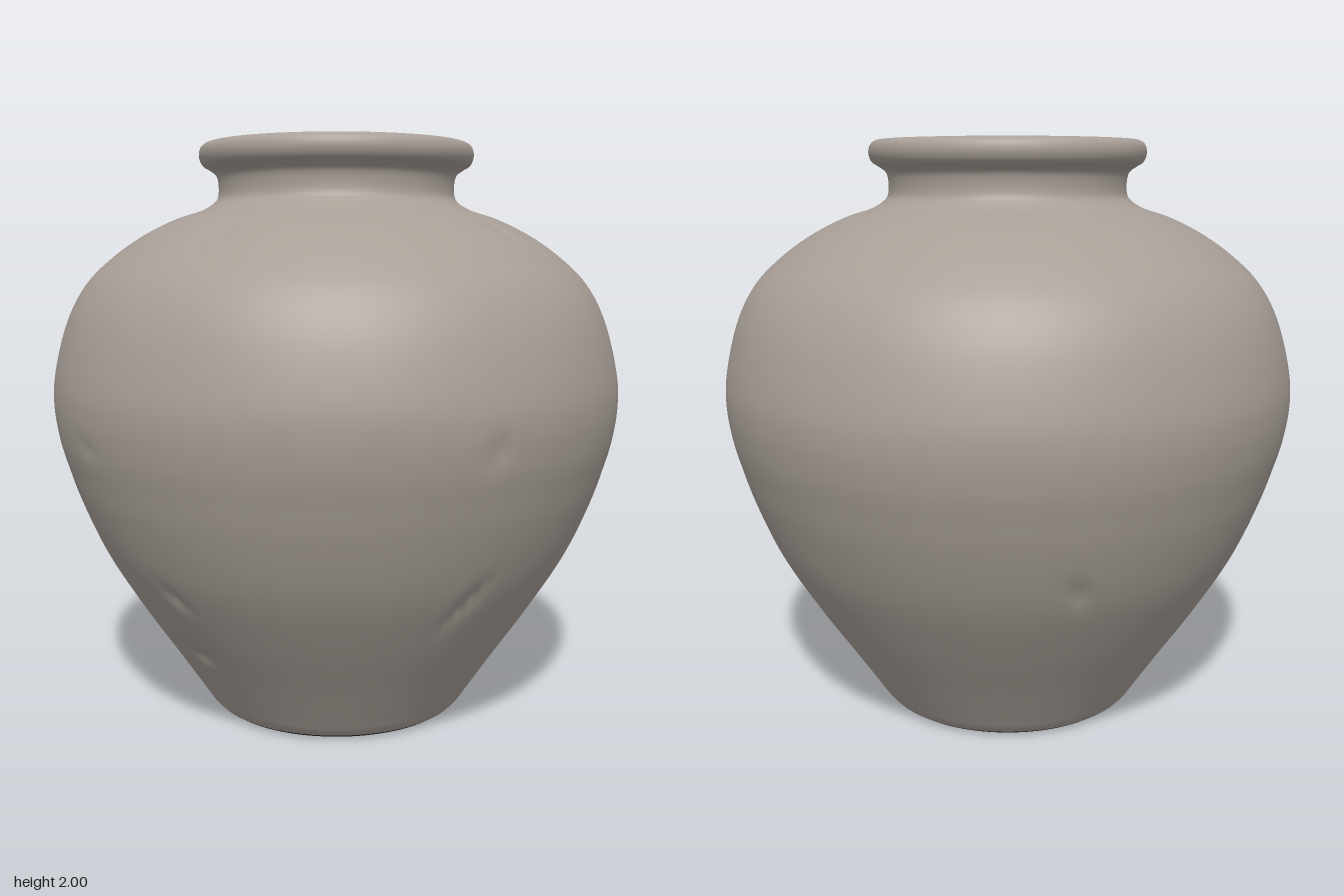
import * as THREE from 'three';
import { mergeVertices } from 'three/addons/utils/BufferGeometryUtils.js';

const clay = new THREE.MeshStandardMaterial({ color: 0xa89f97 });
clay.name = 'warm grey clay';
const dark = new THREE.MeshStandardMaterial({ color: 0x2a2a24 });
dark.name = 'dark underside';

// Smooth curve through [radius, height] points
function profile(points, steps) {
  const curve = new THREE.CatmullRomCurve3(points.map(([r, y]) => new THREE.Vector3(r, y, 0)), false, 'centripetal');
  return curve.getSpacedPoints(steps).map((p) => new THREE.Vector2(Math.max(p.x, 0), p.y));
}

function turned(name, points, steps, material) {
  const mesh = new THREE.Mesh(new THREE.LatheGeometry(profile(points, steps), 160), material);
  mesh.name = name;
  return mesh;
}

// Shallow dents: [x, y, z direction, width, height, depth, slant]
const dents = [
  [-0.36, 1.69, 0.56, 0.04, 0.025, 0.02, 0],
  [-0.43, 1.64, 0.6, 0.02, 0.015, 0.012, 0],
  [0.53, 1.69, 0.38, 0.035, 0.03, 0.022, 0],
  [0.56, 1.64, 0.47, 0.02, 0.015, 0.012, 0],
  [0.47, 1.05, 0.87, 0.02, 0.05, 0.018, 0.2],
  [0.41, 0.55, 0.7, 0.025, 0.08, 0.018, 0.6],
  [-0.45, 0.3, 0.45, 0.05, 0.03, 0.014, 0],
  [-0.52, 0.54, 0.62, 0.025, 0.04, 0.014, -0.4],
  [-0.77, 1.02, 0.58, 0.02, 0.03, 0.012, 0],
  [-0.35, 0.65, -0.78, 0.025, 0.05, 0.014, -0.2],
];

// Press the dents into the wall and add a faint hand-thrown waviness
function weather(geometry) {
  geometry.deleteAttribute('uv');
  geometry.deleteAttribute('normal');
  const g = mergeVertices(geometry, 1e-4);
  const pos = g.attributes.position;
  for (let i = 0; i < pos.count; i++) {
    const x = pos.getX(i), y = pos.getY(i), z = pos.getZ(i);
    const r = Math.hypot(x, z), a = Math.atan2(x, z);
    let push = 0.002 * Math.sin(3 * a + 5 * y) * Math.sin(Math.PI * y / 1.79);
    for (const [dx, dy, dz, w, h, depth, slant] of dents) {
      let da = a - Math.atan2(dx, dz);
      da = Math.atan2(Math.sin(da), Math.cos(da)) * r;
      const v = y - dy, u = da - slant * v;
      push -= depth * Math.exp(-((u / w) ** 2) - (v / h) ** 2);
    }
    pos.setX(i, x * (r + push) / r);
    pos.setZ(i, z * (r + push) / r);
  }
  g.computeVertexNormals();
  return g;
}

export function createModel() {
  const jar = new THREE.Group();
  jar.name = 'jar';

  // Belly, with a soft seam just below the widest part
  const body = turned('body', [
    [0.445, 0.014], [0.465, 0.035], [0.495, 0.08], [0.575, 0.2], [0.71, 0.4], [0.83, 0.6],
    [0.915, 0.8], [0.95, 0.91], [0.962, 0.95], [0.974, 1.0], [0.988, 1.1], [0.985, 1.2], [0.935, 1.4],
    [0.87, 1.52], [0.785, 1.605], [0.68, 1.68], [0.56, 1.74], [0.47, 1.77], [0.435, 1.79],
  ], 130, clay);
  body.geometry = weather(body.geometry);

  // Neck flaring into a rolled lip
  const rim = turned('neckAndRim', [
    [0.435, 1.79], [0.417, 1.81], [0.412, 1.85], [0.42, 1.89], [0.445, 1.91], [0.468, 1.925], [0.479, 1.955],
    [0.472, 1.985], [0.45, 1.999], [0.425, 1.995], [0.405, 1.97], [0.4, 1.94],
  ], 48, clay);

  // Inside of the mouth and its hollow
  const inside = turned('inside', [
    [0.4, 1.94], [0.395, 1.88], [0.375, 1.81], [0.345, 1.74], [0.28, 1.67], [0.15, 1.615], [0, 1.6],
  ], 40, clay);

  // Slightly hollowed foot
  const base = turned('base', [[0, 0.012], [0.2, 0.01], [0.38, 0.004], [0.42, 0], [0.445, 0.014]], 24, dark);

  jar.add(body, rim, inside, base);
  return jar;
}
